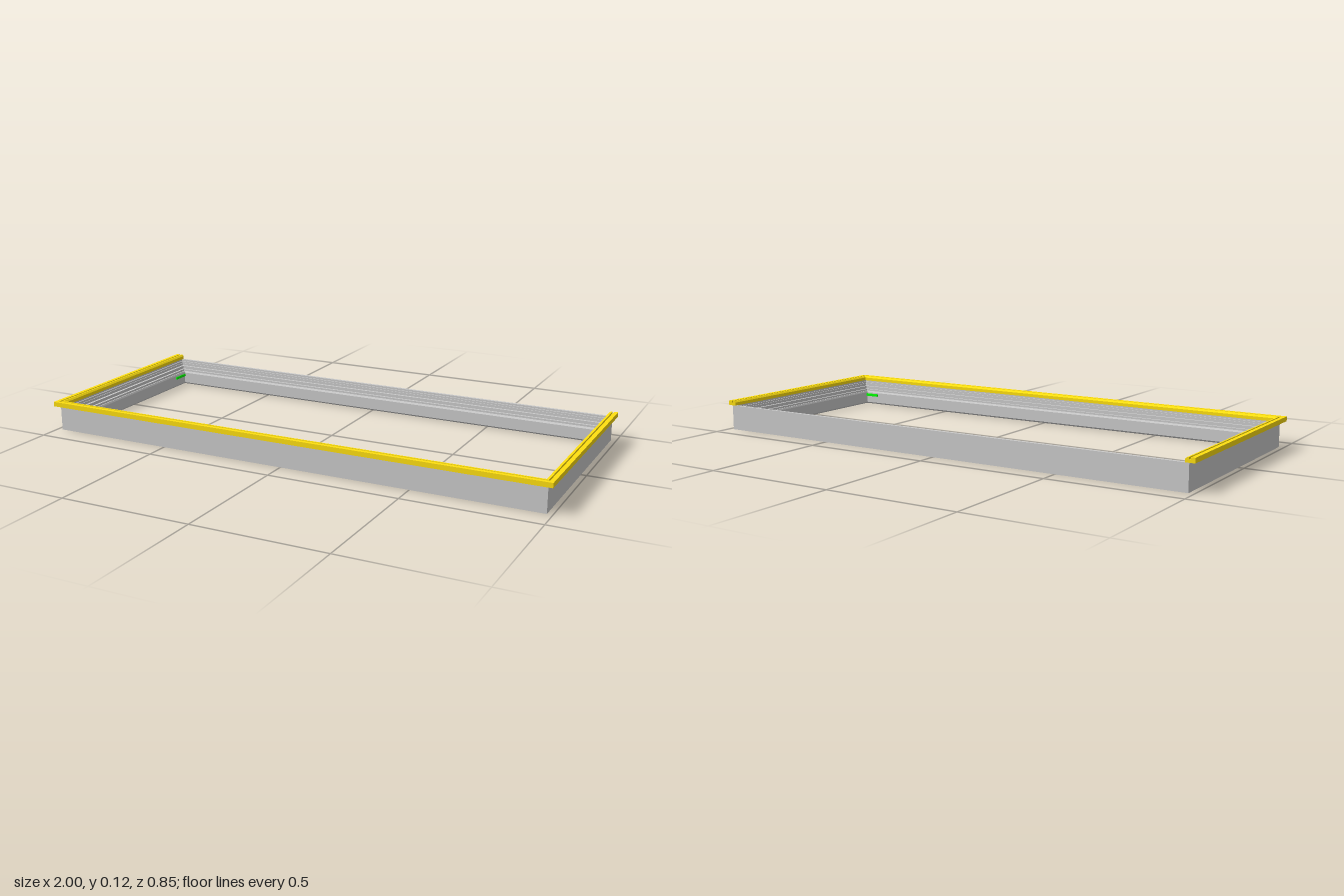
import * as THREE from 'three';

// Sweeps a [inward, up] cross-section (counter-clockwise) round mitred corners.
// Each corner is [x, z, inwardX, inwardZ]; open sweeps get end caps.
function sweep(profile, corners, closed) {
  const pos = [];
  const at = ([x, z, ix, iz], [d, y]) => [x + ix * d, y, z + iz * d];
  const tri = (a, b, c) => pos.push(...a, ...b, ...c);
  const spans = closed ? corners.length : corners.length - 1;
  for (let i = 0; i < spans; i++) {
    const c0 = corners[i], c1 = corners[(i + 1) % corners.length];
    profile.forEach((p, j) => {
      const q = profile[(j + 1) % profile.length];
      tri(at(c0, p), at(c0, q), at(c1, q));
      tri(at(c0, p), at(c1, q), at(c1, p));
    });
  }
  if (!closed) {
    const flat = profile.map(([d, y]) => new THREE.Vector2(d, y));
    const first = corners[0], last = corners[corners.length - 1];
    for (const [a, b, c] of THREE.ShapeUtils.triangulateShape(flat, [])) {
      tri(at(first, profile[a]), at(first, profile[c]), at(first, profile[b]));
      tri(at(last, profile[a]), at(last, profile[b]), at(last, profile[c]));
    }
  }
  const geo = new THREE.BufferGeometry();
  geo.setAttribute('position', new THREE.Float32BufferAttribute(pos, 3));
  geo.computeVertexNormals();
  return geo;
}

export function createModel() {
  const model = new THREE.Group();
  const add = (name, geo, color) => {
    const mesh = new THREE.Mesh(geo, new THREE.MeshStandardMaterial({ color }));
    mesh.name = name;
    model.add(mesh);
    return mesh;
  };

  // Main frame: outer wall, seal groove, stepped ledges and a tall inner lip
  const frameProfile = [
    [0, 0], [0.05, 0], [0.055, 0.006], [0.055, 0.05], [0.051, 0.056],
    [0.047, 0.056], [0.047, 0.051], [0.043, 0.051], [0.043, 0.062],
    [0.034, 0.062], [0.034, 0.074], [0.024, 0.074], [0.024, 0.084],
    [0.021, 0.084], [0.021, 0.066], [0.017, 0.066], [0.017, 0.09],
    [0.012, 0.09], [0.012, 0.097], [0, 0.097],
  ];
  const frameCorners = [
    [-0.98, -0.427, 1, 1], [-0.98, 0.41, 1, -1],
    [0.98, 0.41, -1, -1], [0.98, -0.427, -1, 1],
  ];
  add('frame', sweep(frameProfile, frameCorners, true), 0xcccccc);

  // Grooved trim along the front and both sides, cut flush at the back
  const trimProfile = [
    [0, 0.097], [0.034, 0.097], [0.034, 0.109], [0.027, 0.115],
    [0.021, 0.115], [0.021, 0.108], [0.015, 0.108], [0.015, 0.115], [0, 0.115],
  ];
  const trimCorners = [
    [-1, -0.427, 1, 0], [-1, 0.427, 1, -1],
    [1, 0.427, -1, -1], [1, -0.427, -1, 0],
  ];
  add('trim', sweep(trimProfile, trimCorners, false), 0xffe010);

  // Thin corner keys on the inner front lip
  for (const side of [-1, 1]) {
    const key = add(side > 0 ? 'leftCornerKey' : 'rightCornerKey',
      new THREE.BoxGeometry(0.062, 0.01, 0.01), 0x00ff00);
    key.position.set(side * 0.894, 0.04, 0.352);
  }
  // Slim key on the right inner lip near the back
  const sideKey = add('sideKey', new THREE.BoxGeometry(0.006, 0.01, 0.07), 0x00ff00);
  sideKey.position.set(-0.924, 0.04, -0.337);

  return model;
}
